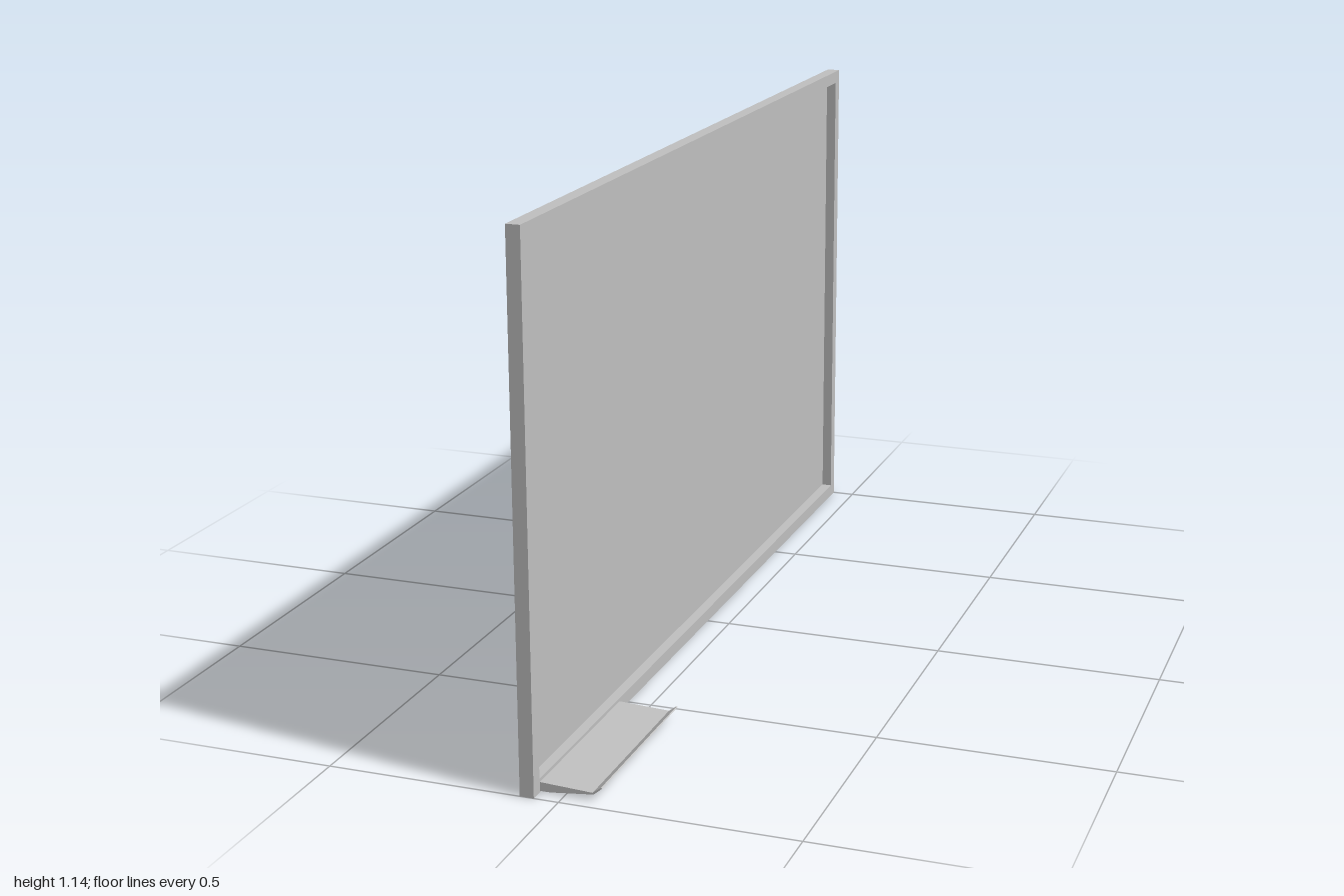
import * as THREE from 'three';

const H = 1.145, BACK = -0.082, FACE = -0.052, RIM = 0.029, RECESS = 0.023;

const rect = (path, x0, y0, x1, y1) =>
  path.moveTo(x0, y0).lineTo(x1, y0).lineTo(x1, y1).lineTo(x0, y1).closePath();

export function createModel() {
  const group = new THREE.Group();
  const grey = new THREE.MeshStandardMaterial({ color: 0xc0c0c0 });
  grey.name = 'light grey';
  const add = (name, geometry) => {
    const mesh = new THREE.Mesh(geometry, grey);
    mesh.name = name;
    group.add(mesh);
    return mesh;
  };

  // Raised rim around the writing surface, facing +x
  const rim = rect(new THREE.Shape(), -1, 0, 1, H);
  rim.holes.push(rect(new THREE.Path(), -1 + RIM, RIM, 1 - RIM, H - RIM));
  const frame = add('frame', new THREE.ExtrudeGeometry(rim, { depth: FACE - BACK, bevelEnabled: false }));
  frame.rotation.y = Math.PI / 2;
  frame.position.x = BACK;

  // Recessed writing panel, flush with the back of the frame
  const thickness = FACE - BACK - RECESS;
  const panel = add('writingPanel', new THREE.BoxGeometry(thickness, H - 2 * RIM, 2 - 2 * RIM));
  panel.position.set(BACK + thickness / 2, H / 2, 0);

  // Tapered pen tray with an upturned lip
  const profile = new THREE.Shape([
    [FACE, 0.003], [-0.03, 0.003], [0.062, 0.013], [0.08, 0.028],
    [0.078, 0.03], [0.06, 0.0165], [FACE, 0.022],
  ].map(([x, y]) => new THREE.Vector2(x, y)));
  const tray = add('penTray', new THREE.ExtrudeGeometry(profile, { depth: 0.42, bevelEnabled: false }));
  tray.position.z = 0.55;

  return group;
}
